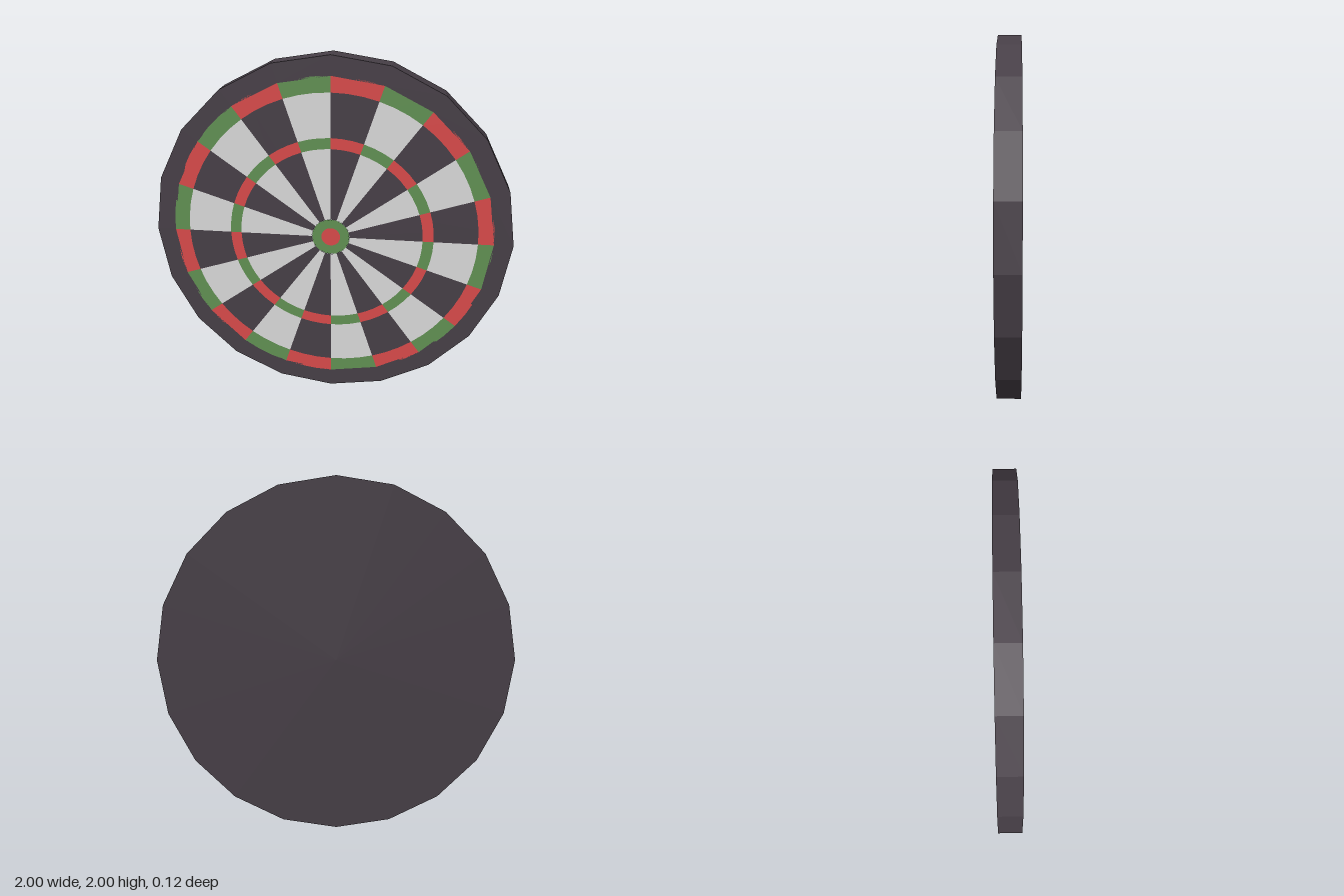
import * as THREE from 'three';
import { mergeGeometries } from 'three/addons/utils/BufferGeometryUtils.js';

const SIDES = 20;
const STEP = (Math.PI * 2) / SIDES;
const DEPTH = 0.125;

function material(name, color) {
  const m = new THREE.MeshStandardMaterial({ color });
  m.name = name;
  return m;
}

export function createModel() {
  const charcoal = material('charcoal', 0x484048);
  charcoal.flatShading = true;
  const white = material('white', 0xdcdcdc);
  const red = material('red', 0xdb4b4b);
  const green = material('green', 0x629254);

  const board = new THREE.Group();
  board.name = 'targetBoard';
  board.position.y = 1;

  function add(name, geometry, mat, z = 0) {
    const mesh = new THREE.Mesh(geometry, mat);
    mesh.name = name;
    mesh.position.z = z;
    board.add(mesh);
    return mesh;
  }

  // Board edge and back
  add('edge', new THREE.CylinderGeometry(1, 1, DEPTH, SIDES, 1, true).rotateX(Math.PI / 2), charcoal);
  add('back', new THREE.CircleGeometry(1, SIDES).rotateY(Math.PI), charcoal, -DEPTH / 2);

  // Front rim and bullseye
  const front = DEPTH / 2;
  add('rim', new THREE.RingGeometry(0.895, 1, SIDES), charcoal, front);
  add('outerBull', new THREE.RingGeometry(0.053, 0.105, SIDES), green, front);
  add('innerBull', new THREE.CircleGeometry(0.053, SIDES), red, front);

  // Alternating sectors of one band, merged per colour
  function band(name, inner, outer, evenMat, oddMat) {
    [evenMat, oddMat].forEach((mat, parity) => {
      const sectors = [];
      for (let i = parity; i < SIDES; i += 2) {
        sectors.push(new THREE.RingGeometry(inner, outer, 1, 1, i * STEP, STEP));
      }
      add(`${name}${parity ? 'Odd' : 'Even'}`, mergeGeometries(sectors), mat, front);
    });
  }

  band('innerWedges', 0.105, 0.51, charcoal, white);
  band('middleRing', 0.51, 0.57, red, green);
  band('outerWedges', 0.57, 0.81, charcoal, white);
  band('outerRing', 0.81, 0.895, red, green);

  const model = new THREE.Group();
  model.name = 'model';
  model.add(board);
  return model;
}
